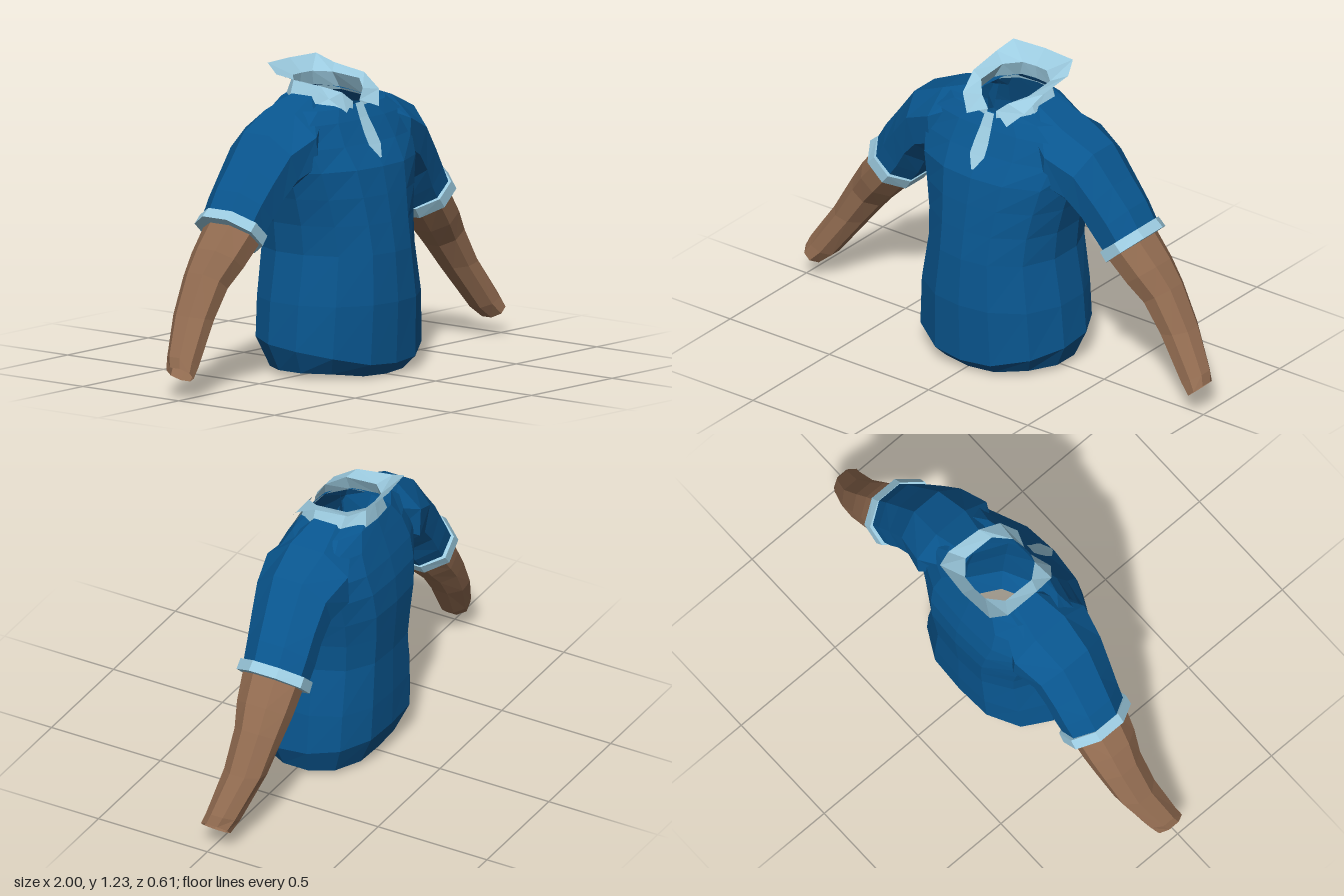
import * as THREE from 'three';

// All parts are open shells, so both faces show
const flat = (name, color) => {
  const material = new THREE.MeshStandardMaterial({ color, side: THREE.DoubleSide });
  material.name = name;
  return material;
};
const shirtBlue = flat('shirt blue', 0x09568f);
const trimBlue = flat('trim light blue', 0x9ccbe0);
const skin = flat('skin brown', 0x916b50);

// Faceted skin over a list of cross-sections, each a list of [x, y, z]
function loft(rings, { closed = true, flip = false } = {}) {
  const out = [];
  const tri = (a, b, c) => out.push(...(flip ? [...a, ...c, ...b] : [...a, ...b, ...c]));
  const n = rings[0].length;
  for (let i = 0; i < rings.length - 1; i++) {
    for (let j = 0; j < (closed ? n : n - 1); j++) {
      const m = (j + 1) % n;
      tri(rings[i][j], rings[i][m], rings[i + 1][m]);
      tri(rings[i][j], rings[i + 1][m], rings[i + 1][j]);
    }
  }
  const geometry = new THREE.BufferGeometry();
  geometry.setAttribute('position', new THREE.Float32BufferAttribute(out, 3));
  geometry.computeVertexNormals();
  return geometry;
}

// Torso outline as fractions of half width and depth, front to back on the left
const outline = [[0, 1], [0.4, 0.94], [0.8, 0.66], [1, 0.2], [1, -0.3], [0.82, -0.72], [0.45, -0.97], [0, -1]];

function torsoRing([y, w, front, back, slope = 0, dip = 0]) {
  const at = (f, side) => {
    const z = f[1] > 0 ? f[1] * front : -f[1] * back;
    return [side * f[0] * w, y + slope * z - dip * Math.max(0, z - 0.16), z];
  };
  return [...outline.map((f) => at(f, 1)), ...outline.slice(1, -1).reverse().map((f) => at(f, -1))];
}

// Eight-sided limb section between a top and a bottom point, mirrored by side
function limbRing([tx, ty, bx, by, front, back], side) {
  const k = 1 / Math.cos(Math.PI / 8);
  return Array.from({ length: 8 }, (_, j) => {
    const a = Math.PI / 8 + (j * Math.PI) / 4;
    const c = Math.cos(a) * k, s = Math.sin(a) * k;
    return [
      side * ((tx + bx) / 2 + (c * (tx - bx)) / 2),
      (ty + by) / 2 + (c * (ty - by)) / 2,
      (front + back) / 2 + (s * (front - back)) / 2,
    ];
  });
}

// y, half width, front z, back z, slope along z, front dip
const torso = [
  [0.02, 0.30, 0.24, -0.22, 0, 0.25],
  [0.12, 0.345, 0.295, -0.28, -0.1, 0.3],
  [0.30, 0.33, 0.305, -0.285],
  [0.50, 0.295, 0.29, -0.285],
  [0.62, 0.305, 0.27, -0.295],
  [0.73, 0.332, 0.25, -0.303],
  [0.84, 0.365, 0.226, -0.295],
  [0.93, 0.39, 0.168, -0.272],
  [1.02, 0.36, 0.12, -0.24],
  [1.075, 0.26, 0.09, -0.215, -0.08],
  [1.088, 0.145, 0.08, -0.20, -0.14],
];

// Limb sections: top x, top y, bottom x, bottom y, front z, back z
const sleeve = [
  [0.16, 1.118, 0.22, 0.84, 0.06, -0.19],
  [0.30, 1.068, 0.28, 0.78, 0.125, -0.245],
  [0.45, 1.00, 0.35, 0.745, 0.10, -0.215],
  [0.54, 0.88, 0.41, 0.69, 0.08, -0.21],
  [0.61, 0.79, 0.45, 0.62, 0.065, -0.21],
  [0.665, 0.70, 0.50, 0.56, 0.055, -0.205],
];
const cuff = [
  [0.635, 0.70, 0.50, 0.59, 0.05, -0.20],
  [0.655, 0.72, 0.485, 0.57, 0.072, -0.22],
  [0.69, 0.69, 0.512, 0.53, 0.072, -0.222],
  [0.66, 0.66, 0.53, 0.55, 0.045, -0.185],
];
const arm = [
  [0.65, 0.68, 0.51, 0.56, 0.055, -0.19],
  [0.74, 0.57, 0.60, 0.46, 0.035, -0.185],
  [0.80, 0.48, 0.67, 0.39, 0.01, -0.175],
  [0.89, 0.32, 0.75, 0.29, 0.008, -0.155],
  [0.985, 0.17, 0.88, 0.115, 0.03, -0.10],
  [1.0, 0.13, 0.935, 0.07, 0.04, -0.08],
];

// Collar rows from front centre to back centre: neck base, fold, outer edge
const collar = [
  [[0.03, 1.05, 0.095], [0.10, 1.06, 0.085], [0.155, 1.08, 0], [0.16, 1.09, -0.13], [0.09, 1.085, -0.21], [0, 1.09, -0.215]],
  [[0.02, 1.09, 0.085], [0.065, 1.13, 0.065], [0.12, 1.155, 0], [0.12, 1.165, -0.14], [0.06, 1.17, -0.195], [0, 1.17, -0.20]],
  [[0.10, 1.058, 0.12], [0.155, 1.115, 0.075], [0.175, 1.17, -0.02], [0.18, 1.19, -0.18], [0.15, 1.225, -0.25], [0, 1.225, -0.262]],
];
const bothSides = (row) => [...row, ...row.slice(0, -1).reverse().map(([x, y, z]) => [-x, y, z])];

// Placket strip: half width, y, z
const placket = [[0.005, 0.875, 0.215], [0.036, 0.925, 0.183], [0.035, 0.97, 0.157], [0.027, 1.03, 0.125], [0.022, 1.085, 0.1]];

export function createModel() {
  const model = new THREE.Group();
  model.name = 'shirtWithArms';
  const add = (name, geometry, material, parent = model) => {
    const mesh = new THREE.Mesh(geometry, material);
    mesh.name = name;
    parent.add(mesh);
  };

  // Body, open at hem and neck
  add('torso', loft(torso.map(torsoRing)), shirtBlue);

  // Collar and placket
  add('collar', loft(collar.map(bothSides), { closed: false }), trimBlue);
  add('placket', loft(placket.map(([w, y, z]) => [[-w, y, z], [w, y, z]]), { closed: false }), trimBlue);

  // Sleeves, cuffs and arms
  for (const side of [1, -1]) {
    const limb = new THREE.Group();
    limb.name = side > 0 ? 'leftLimb' : 'rightLimb';
    const shell = (sections) => loft(sections.map((s) => limbRing(s, side)), { flip: side < 0 });
    add('sleeve', shell(sleeve), shirtBlue, limb);
    add('cuff', shell(cuff), trimBlue, limb);
    add('forearm', shell(arm), skin, limb);
    model.add(limb);
  }
  return model;
}
